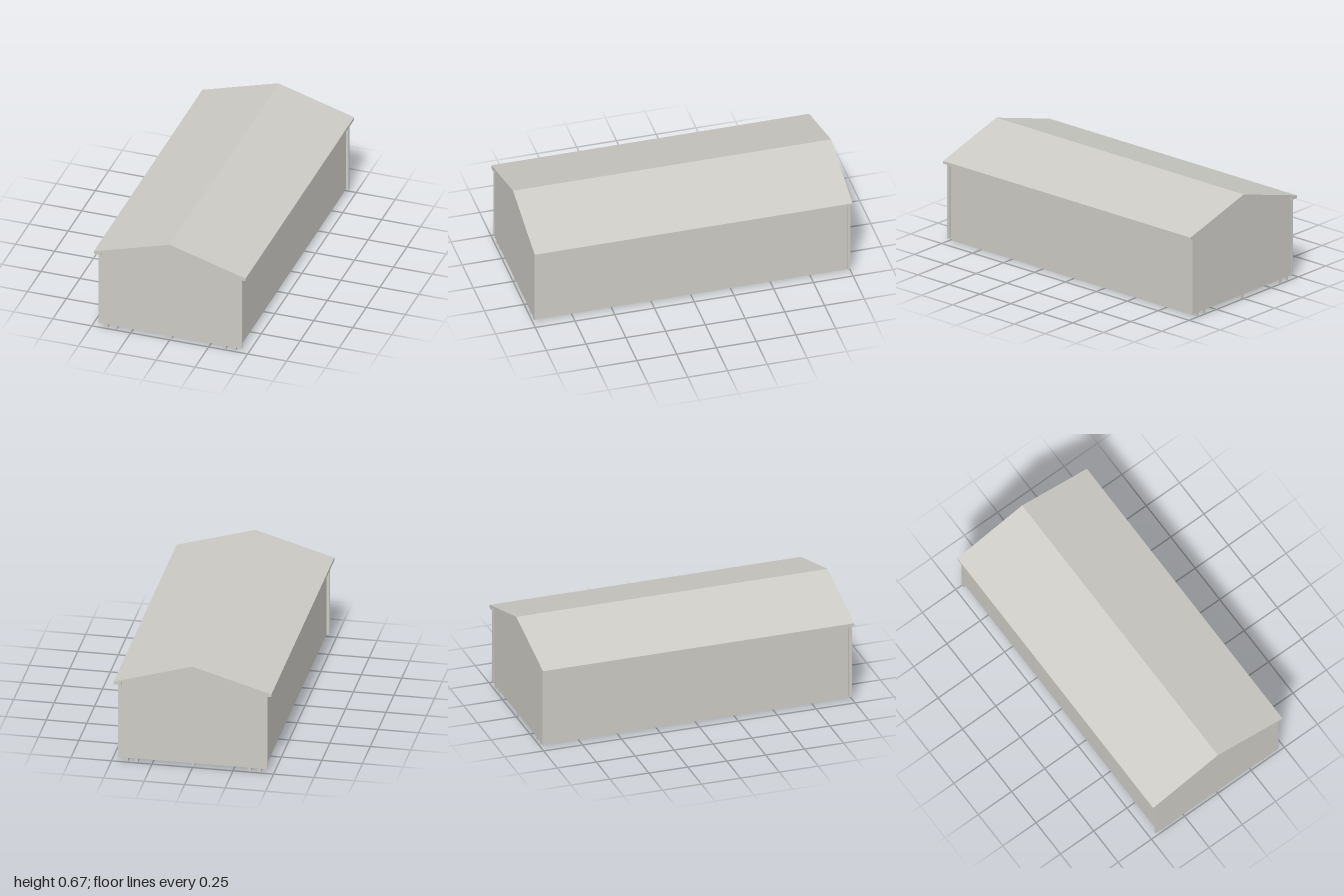
import * as THREE from 'three';

const mat = new THREE.MeshStandardMaterial({ color: 0xcbcac4 });
mat.name = 'warm light grey';

function add(group, name, geometry, x = 0, y = 0, z = 0) {
  const mesh = new THREE.Mesh(geometry, mat);
  mesh.name = name;
  mesh.position.set(x, y, z);
  group.add(mesh);
}

// Outline in x/y, extruded between two z values
function slab(points, z0, z1) {
  const shape = new THREE.Shape(points.map(([x, y]) => new THREE.Vector2(x, y)));
  const g = new THREE.ExtrudeGeometry(shape, { depth: z1 - z0, bevelEnabled: false });
  return g.translate(0, 0, z0);
}

export function createModel() {
  const shed = new THREE.Group();
  shed.name = 'shed';
  const base = 0.025, eave = 0.513, wallX = 0.443, endZ = 0.991, t = 0.004;

  // Gable roof: folded sheet with level eave soffits
  add(shed, 'roof', slab([
    [-0.487, eave], [-0.44, eave], [-0.44, 0.531], [0, 0.655], [0.44, 0.531],
    [0.44, eave], [0.487, eave], [0.487, 0.531], [0, 0.674], [-0.487, 0.531],
  ], -1, 1));

  // End walls reach up to the underside of the roof
  const gable = [[-wallX, base], [wallX, base], [wallX, 0.527], [0, 0.655], [-wallX, 0.527]];
  add(shed, 'frontWall', slab(gable, endZ - t, endZ));
  add(shed, 'backWall', slab(gable, -endZ, -endZ + t));

  for (const s of [-1, 1]) {
    // Side walls, open underneath
    add(shed, s > 0 ? 'leftWall' : 'rightWall',
      new THREE.BoxGeometry(t, eave - base, 2 * (endZ - t)),
      s * (wallX - t / 2), (eave + base) / 2, 0);
    // Corner boards
    for (const e of [-1, 1]) {
      add(shed, 'cornerBoard', new THREE.BoxGeometry(0.017, eave - base, 0.017),
        s * (wallX + 0.0085), (eave + base) / 2, e * (endZ + 0.002 - 0.0085));
    }
  }

  // Ground runners along the full length
  for (const x of [-0.41, -0.348, 0, 0.348, 0.41]) {
    add(shed, 'runner', new THREE.BoxGeometry(0.02, base, 1.975), x, base / 2, 0);
  }
  return shed;
}
